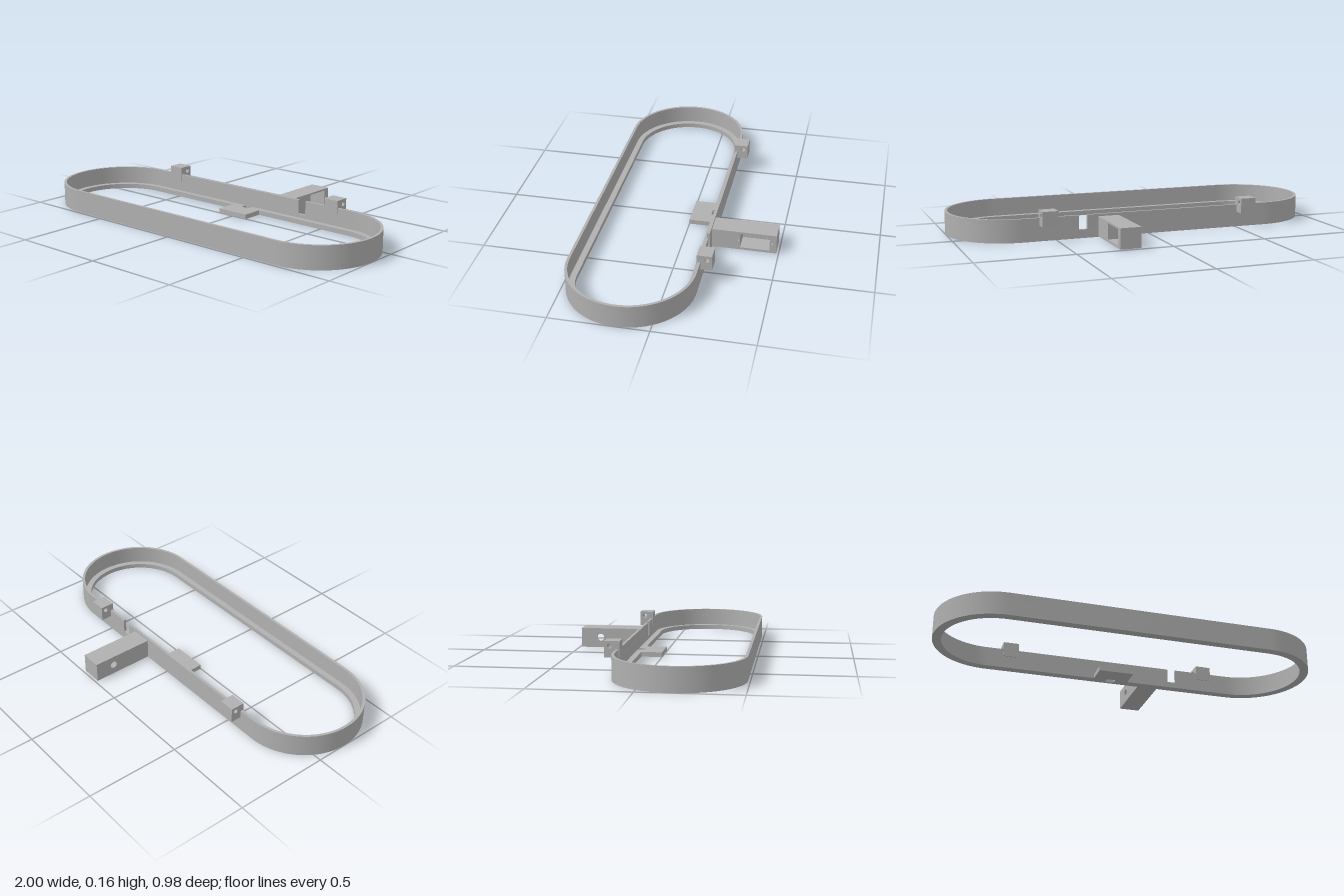
import * as THREE from 'three';
import { toCreasedNormals } from 'three/addons/utils/BufferGeometryUtils.js';

const CZ = 0.167;      // z of the ring's long axis
const HALF = 0.678;    // half length of the straight runs
const R_OUT = 0.322, R_WALL = 0.308, R_LEDGE = 0.277;
const V = (x, y) => new THREE.Vector2(x, y);

// Stadium outline in plan (shape y is -z), from back left round the front to back right
function stadium(r, n = 40) {
  const pts = [];
  for (const [cx, start] of [[-HALF, Math.PI / 2], [HALF, -Math.PI / 2]]) {
    for (let i = 0; i <= n; i++) {
      const a = start + (Math.PI * i) / n;
      pts.push(V(cx + r * Math.cos(a), -CZ + r * Math.sin(a)));
    }
  }
  return pts;
}

const rect = (x0, x1, y0, y1) => [V(x0, y0), V(x1, y0), V(x1, y1), V(x0, y1)];

function circle(x, y, r) {
  return new THREE.Path().absarc(x, y, r, 0, Math.PI * 2, true).getPoints(12);
}

function extrude(outline, holes, depth) {
  const shape = new THREE.Shape(outline);
  for (const h of holes) shape.holes.push(new THREE.Path(h));
  return new THREE.ExtrudeGeometry(shape, { depth, bevelEnabled: false });
}

// Plan outline raised from y0 to y1
function slab(outline, holes, y0, y1) {
  const g = extrude(outline, holes, y1 - y0);
  return toCreasedNormals(g.rotateX(-Math.PI / 2).translate(0, y0, 0), 0.5);
}

// Side outline (-z, y) running from x0 to x1
function sidePlate(outline, holes, x0, x1) {
  const g = extrude(outline, holes, x1 - x0);
  return toCreasedNormals(g.rotateY(Math.PI / 2).translate(x0, 0, 0), 0.6);
}

export function createModel() {
  const model = new THREE.Group();
  const grey = new THREE.MeshStandardMaterial({ color: 0xb0b0b0 });
  grey.name = 'grey plastic';
  const add = (name, geometry, parent = model) => {
    const mesh = new THREE.Mesh(geometry, grey);
    mesh.name = name;
    parent.add(mesh);
  };

  // Inner ledge at the bottom, with the tongue at the back and its square hole
  const back = R_LEDGE - CZ;
  const ledgeInner = [...stadium(R_LEDGE), V(0.092, back), V(0.092, 0), V(-0.095, 0), V(-0.095, back)];
  add('ledgeAndTongue', slab(stadium(R_OUT), [ledgeInner, rect(-0.025, 0.022, 0.104, 0.141)], 0, 0.025));

  // Thin rim wall: closed below, notched at the back above
  add('lowerWall', slab(stadium(R_OUT), [stadium(R_WALL)], 0.025, 0.045));
  const notched = (r) => [V(0.335, r - CZ), ...stadium(r), V(0.38, r - CZ)];
  add('notchedWall', slab([...notched(R_OUT), ...notched(R_WALL).reverse()], [], 0.045, 0.12));

  // Lugs behind the wall, bored along x
  for (const [name, x] of [['leftLug', 0.504], ['rightLug', -0.59]]) {
    add(name, sidePlate(rect(0.137, 0.213, 0.08, 0.16), [circle(0.187, 0.135, 0.012)], x, x + 0.083));
  }

  // Motor bracket: pocket open to the left, shaft hole in the closed side, two blind screw holes
  const bracket = new THREE.Group();
  bracket.name = 'motorBracket';
  model.add(bracket);
  const side = rect(0.154, 0.488, 0.002, 0.108);
  add('bracketBody', sidePlate(side, [
    rect(0.301, 0.453, 0.015, 0.099),
    circle(0.29, 0.057, 0.006),
    circle(0.464, 0.057, 0.006),
  ], 0.18, 0.275), bracket);
  add('bracketPlate', sidePlate(side, [circle(0.381, 0.057, 0.02)], 0.165, 0.18), bracket);

  return model;
}
